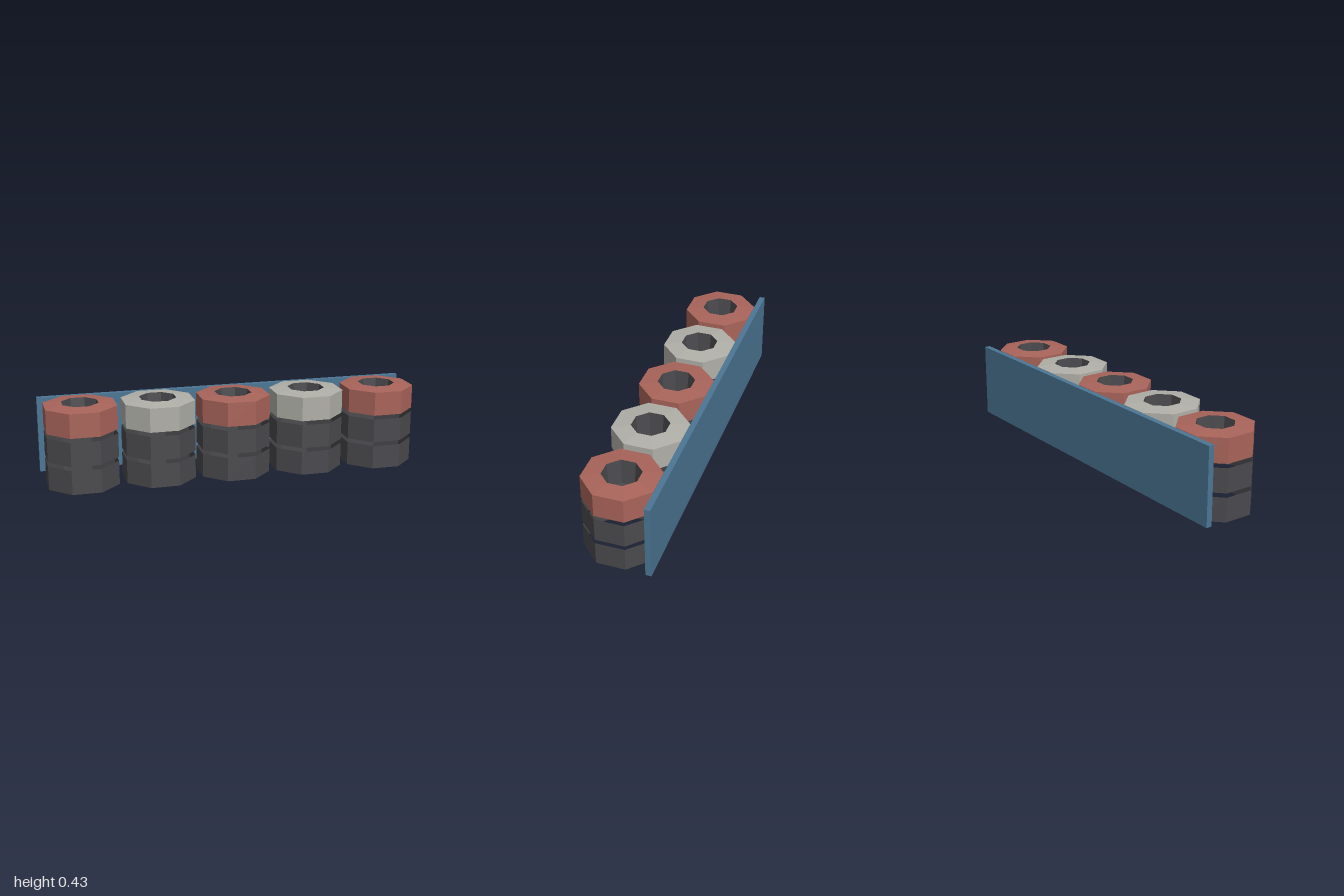
import * as THREE from 'three';

const material = (name, color, side = THREE.DoubleSide) => {
  const m = new THREE.MeshStandardMaterial({ color, side, flatShading: true });
  m.name = name;
  return m;
};

export function createModel() {
  const red = material('faded red', 0xa9645a);
  const white = material('dirty white', 0xb0afa8);
  const rubber = material('dark rubber', 0x4a4a4e);
  const blue = material('barrier blue', 0x4b7694, THREE.FrontSide);

  const model = new THREE.Group();
  model.name = 'tyreBarrier';
  const add = (parent, name, geometry, mat, y = 0) => {
    const mesh = new THREE.Mesh(geometry, mat);
    mesh.name = name;
    mesh.position.y = y;
    parent.add(mesh);
    return mesh;
  };

  // Open eight-sided band with flats facing front and sides
  const band = (topRadius, bottomRadius, height) =>
    new THREE.CylinderGeometry(topRadius, bottomRadius, height, 8, 1, true).rotateY(Math.PI / 8);

  const R = 0.195, HOLE = 0.0975, FLOOR = 0.085, H = 0.125, STEP = 0.1465;
  const tread = band(R, R, H);
  const shoulder = band(HOLE, R, 0.01);
  const well = band(HOLE, FLOOR, 0.13);
  const floor = new THREE.CircleGeometry(FLOOR, 8).rotateX(-Math.PI / 2).rotateY(Math.PI / 8);

  // Five stacks of three tyres, the top one painted
  for (let i = 0; i < 5; i++) {
    const stack = new THREE.Group();
    stack.name = 'tyreStack';
    stack.position.set(-0.8 + 0.4 * i, 0, 0.0155);
    const paint = i % 2 ? white : red;
    for (let j = 0; j < 3; j++) {
      add(stack, j === 2 ? 'paintedTyre' : 'tyre', tread, j === 2 ? paint : rubber, H / 2 + STEP * j);
    }
    // Sloped top and dark centre of the painted tyre
    add(stack, 'tyreTop', shoulder, paint, 0.423);
    add(stack, 'tyreHole', well, rubber, 0.363);
    add(stack, 'holeFloor', floor, rubber, 0.298);
    model.add(stack);
  }

  // Backing board
  const board = add(model, 'backBoard', new THREE.BoxGeometry(2, 0.4, 0.03), blue, 0.216);
  board.position.z = -0.18;
  return model;
}
